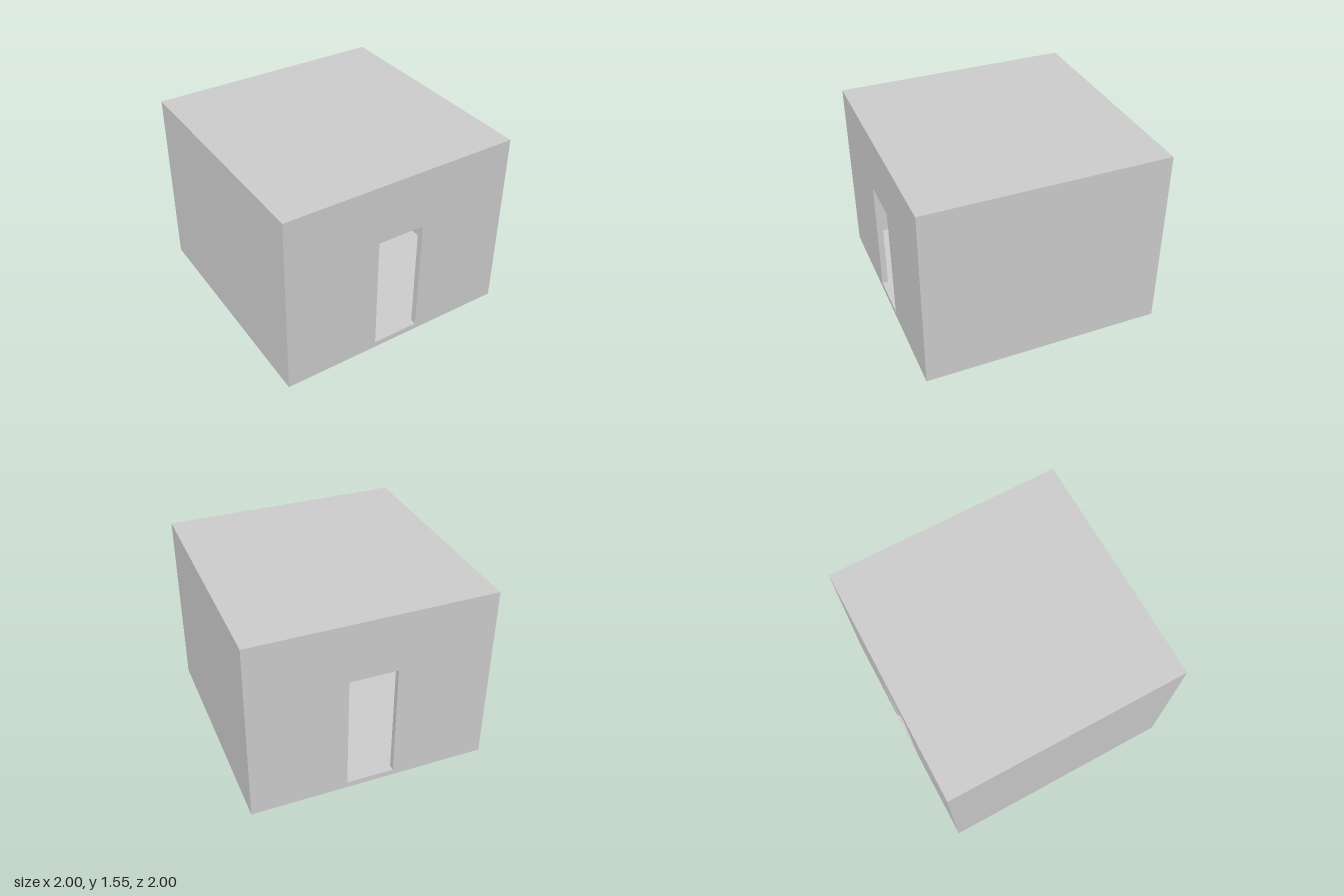
import * as THREE from 'three';

const SIZE = 2, HEIGHT = 1.55, T = 0.05;
const DOOR_W = 0.4, DOOR_H = 1;

export function createModel() {
  const room = new THREE.Group();
  room.name = 'room';
  const material = new THREE.MeshStandardMaterial({ color: 0xcccccc });

  const add = (name, geometry, x, y, z) => {
    const mesh = new THREE.Mesh(geometry, material);
    mesh.name = name;
    mesh.position.set(x, y, z);
    room.add(mesh);
  };

  // Floor and roof slabs cover the full footprint
  const slab = new THREE.BoxGeometry(SIZE, T, SIZE);
  add('floor', slab, 0, T / 2, 0);
  add('roof', slab, 0, HEIGHT - T / 2, 0);

  // Solid side walls between the slabs
  const wallH = HEIGHT - 2 * T;
  const inner = SIZE - 2 * T;
  const sideWall = new THREE.BoxGeometry(T, wallH, inner);
  const offset = (SIZE - T) / 2;
  add('leftWall', sideWall, offset, HEIGHT / 2, 0);
  add('rightWall', sideWall, -offset, HEIGHT / 2, 0);

  // Front and back walls: an outline notched by a doorway that starts at the floor
  const h = SIZE / 2, d = DOOR_W / 2;
  const outline = new THREE.Shape([
    [-h, 0], [-d, 0], [-d, DOOR_H], [d, DOOR_H], [d, 0], [h, 0], [h, wallH], [-h, wallH],
  ].map(([x, y]) => new THREE.Vector2(x, y)));
  const doorWall = new THREE.ExtrudeGeometry(outline, { depth: T, bevelEnabled: false });
  add('frontWall', doorWall, 0, T, h - T);
  add('backWall', doorWall, 0, T, -h);

  return room;
}
